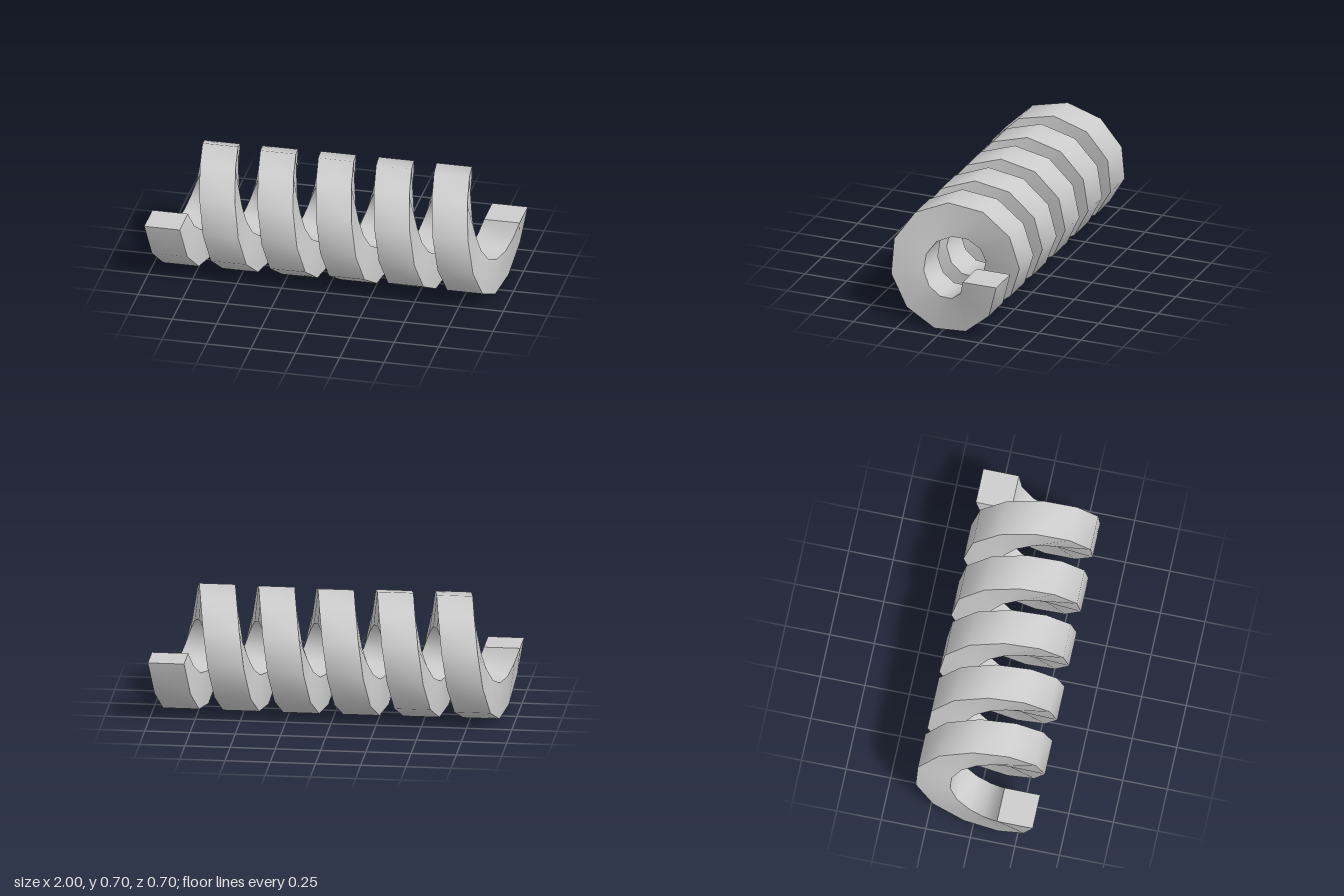
import * as THREE from 'three';

const TURNS = 5.5, SEGMENTS = 60, LENGTH = 1.8, AXIS_Y = 0.35;
// square section as [offset along x, radius]
const SECTION = [[-0.1, 0.15], [0.1, 0.15], [0.1, 0.35], [-0.1, 0.35]];

// point of a section corner at step i along the helix
function helixPoint(i, [dx, r]) {
  const t = (i / SEGMENTS) * TURNS * Math.PI * 2;
  return [
    -LENGTH / 2 + (LENGTH * i) / SEGMENTS + dx,
    AXIS_Y - r * Math.sin(t),
    r * Math.cos(t),
  ];
}

function makeGeometry(positions, indices) {
  const geometry = new THREE.BufferGeometry();
  geometry.setAttribute('position', new THREE.Float32BufferAttribute(positions, 3));
  geometry.setIndex(indices);
  geometry.computeVertexNormals();
  return geometry;
}

// one side of the coil: smooth along the sweep, sharp at its borders
function makeStrip(a, b) {
  const positions = [], indices = [];
  for (let i = 0; i <= SEGMENTS; i++) {
    positions.push(...helixPoint(i, a), ...helixPoint(i, b));
    if (i < SEGMENTS) {
      const k = i * 2;
      indices.push(k, k + 1, k + 2, k + 1, k + 3, k + 2);
    }
  }
  return makeGeometry(positions, indices);
}

// flat square end of the coil
function makeCap(i, indices) {
  return makeGeometry(SECTION.flatMap((corner) => helixPoint(i, corner)), indices);
}

export function createModel() {
  const group = new THREE.Group();
  group.name = 'coilSpring';
  const material = new THREE.MeshStandardMaterial({ color: 0xcccccc });
  const add = (name, geometry) => {
    const mesh = new THREE.Mesh(geometry, material);
    mesh.name = name;
    group.add(mesh);
  };

  // four swept sides
  ['innerSurface', 'rightFlank', 'outerSurface', 'leftFlank'].forEach((name, k) =>
    add(name, makeStrip(SECTION[k], SECTION[(k + 1) % 4])));

  // end faces
  add('startCap', makeCap(0, [0, 3, 2, 0, 2, 1]));
  add('endCap', makeCap(SEGMENTS, [0, 1, 2, 0, 2, 3]));
  return group;
}
